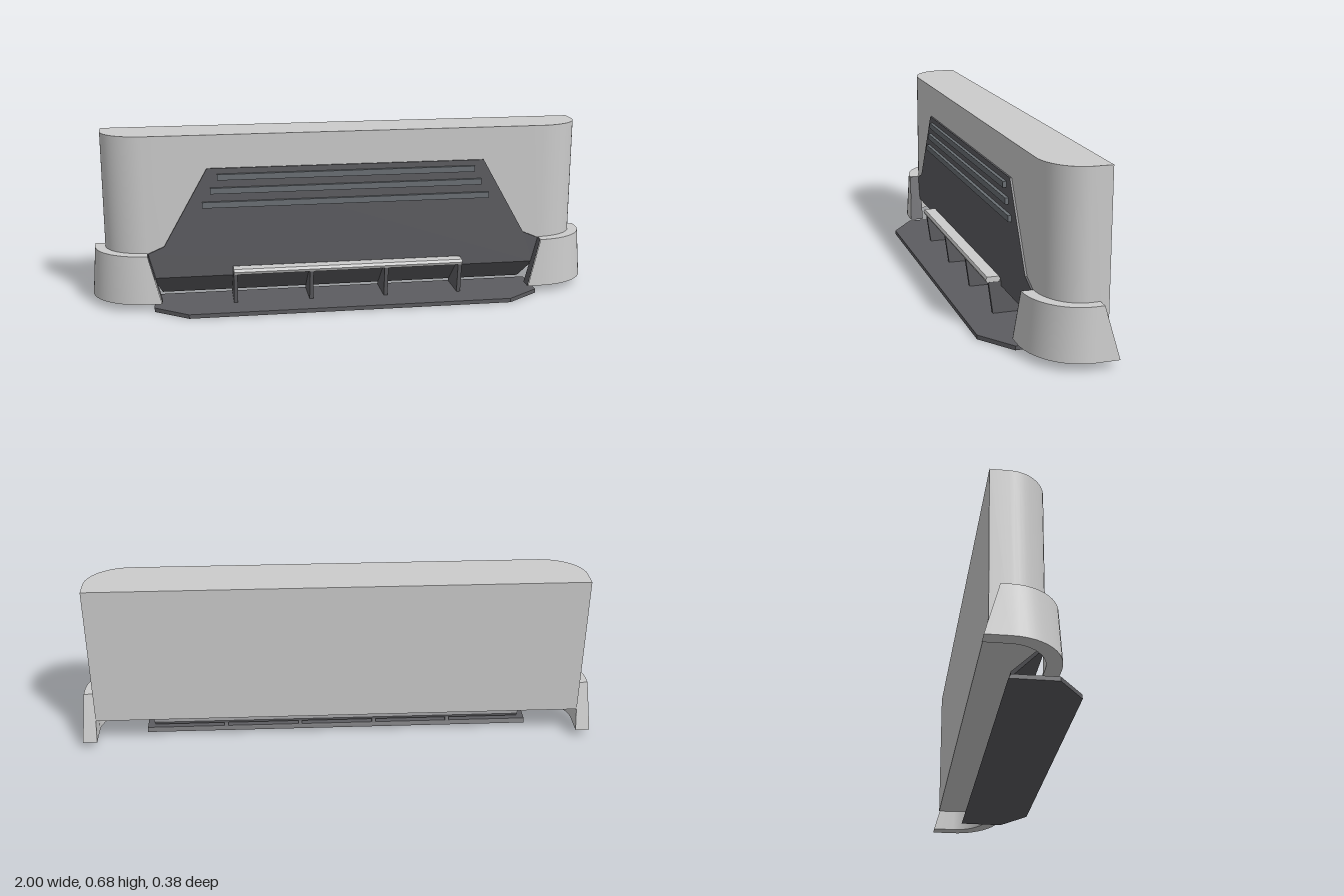
import * as THREE from 'three';
import { toCreasedNormals } from 'three/addons/utils/BufferGeometryUtils.js';

const mat = (color) => new THREE.MeshStandardMaterial({ color, side: THREE.DoubleSide });
const grey = mat(0xcccccc);
const dark = mat(0x5c5c60);
const slatGrey = mat(0x6a6f74);

const polygon = (pts) => new THREE.Shape(pts.map(([x, y]) => new THREE.Vector2(x, y)));
const extrude = (pts, depth) =>
  new THREE.ExtrudeGeometry(polygon(pts), { depth, bevelEnabled: false });

// Completes a right-left symmetric outline from its +x half
const mirrored = (half) => [...half, ...half.map(([x, y]) => [-x, y]).reverse()];

// Extrudes a [z, y] profile along x, centred on the given x
function alongX(profile, width, x = 0) {
  const g = extrude(profile.map(([z, y]) => [-z, y]), width);
  return g.translate(0, 0, -width / 2).rotateY(Math.PI / 2).translate(x, 0, 0);
}

// Extrudes an [x, z] plan upwards from y0 to y1
function upwards(plan, y0, y1) {
  const g = extrude(plan.map(([x, z]) => [x, -z]), y1 - y0);
  return g.rotateX(-Math.PI / 2).translate(0, y0, 0);
}

// Plan curve of a front corner: from the back end, round the ellipse, to the front end
function cornerPlan(rx, rz, zBack, xFront, steps = 12) {
  const pts = [[0.78 + rx, zBack]];
  for (let i = 0; i <= steps; i++) {
    const a = (i / steps) * Math.PI / 2;
    pts.push([0.78 + rx * Math.cos(a), -0.1 + rz * Math.sin(a)]);
  }
  pts.push([xFront, -0.1 + rz]);
  return pts;
}

// Flared corner guard: a four-cornered section swept along the corner plan
function cornerGuard() {
  const rings = [
    [cornerPlan(0.165, 0.138, -0.188, 0.73), 0.03],
    [cornerPlan(0.22, 0.193, -0.188, 0.73), 0.03],
    [cornerPlan(0.205, 0.182, -0.135, 0.779), 0.22],
    [cornerPlan(0.165, 0.138, -0.135, 0.779), 0.22],
  ];
  const n = rings[0][0].length;
  const pos = [], index = [];
  for (let i = 0; i < n; i++) {
    for (const [plan, y] of rings) pos.push(plan[i][0], y, plan[i][1]);
  }
  for (let i = 0; i < n - 1; i++) {
    for (let k = 0; k < 4; k++) {
      const a = i * 4 + k, b = i * 4 + (k + 1) % 4;
      index.push(a, b, a + 4, b, b + 4, a + 4);
    }
  }
  index.push(0, 2, 1, 0, 3, 2);
  const g = new THREE.BufferGeometry();
  g.setAttribute('position', new THREE.Float32BufferAttribute(pos, 3));
  g.setIndex(index);
  // Dark face closing the front end
  const cap = new THREE.BufferGeometry();
  cap.setAttribute('position', new THREE.Float32BufferAttribute(
    pos.slice(-12).map((v, i) => (i % 3 === 0 ? v - 0.002 : v)), 3));
  cap.setIndex([0, 1, 2, 0, 2, 3]);
  cap.computeVertexNormals();
  return [toCreasedNormals(g, 0.6), cap];
}

export function createModel() {
  const model = new THREE.Group();
  const add = (name, geometry, material, parent = model) => {
    const mesh = new THREE.Mesh(geometry, material);
    mesh.name = name;
    parent.add(mesh);
    return mesh;
  };

  // Main body with rounded front corners and a flat back
  const bodyHalf = cornerPlan(0.165, 0.138, -0.167, 0.7);
  add('body', toCreasedNormals(upwards(mirrored(bodyHalf), 0.116, 0.677), 0.6), grey);

  // Corner guards
  const [guard, cap] = cornerGuard();
  for (const [side, s] of [['left', 1], ['right', -1]]) {
    const group = new THREE.Group();
    group.name = side + 'CornerGuard';
    group.scale.x = s;
    add('guardShell', guard, grey, group);
    add('guardEndFace', cap, dark, group);
    model.add(group);
  }

  // Grille panel and its slats
  const grille = extrude(
    mirrored([[0.76, 0.12], [0.785, 0.215], [0.715, 0.245], [0.543, 0.548]]), 0.01);
  add('grillePanel', grille.translate(0, 0, 0.035), dark);
  for (const [y, half] of [[0.515, 0.505], [0.462, 0.533], [0.407, 0.565]]) {
    const slat = add('grilleSlat', new THREE.BoxGeometry(2 * half, 0.023, 0.016), slatGrey);
    slat.position.set(0, y, 0.05);
  }

  // Lower panel raking back beneath the body, narrower at the bottom
  const lower = alongX([[0.045, 0.12], [0.03, 0.12], [-0.068, 0.038], [-0.068, 0.029], [-0.058, 0.029]], 1.52);
  const p = lower.attributes.position;
  for (let i = 0; i < p.count; i++) p.setX(i, p.getX(i) * (1 - (0.12 - p.getY(i)) * 0.45));
  lower.computeVertexNormals();
  add('lowerPanel', lower, dark);

  // Splitter plate with its back edge undercut
  const plate = upwards(mirrored([[0.76, -0.08], [0.76, 0.093], [0.63, 0.19]]), 0, 0.016);
  const q = plate.attributes.position;
  for (let i = 0; i < q.count; i++) {
    if (q.getY(i) > 0.01 && q.getZ(i) < -0.07) q.setZ(i, -0.071);
  }
  plate.computeVertexNormals();
  add('splitterPlate', plate, dark);

  // Struts between the plate, the lower panel and the bar
  const strut = [[0.075, 0.012], [0.093, 0.138], [0.04, 0.138], [0.04, 0.115], [-0.065, 0.03], [-0.074, 0.012]];
  for (const x of [-0.45, -0.15, 0.15, 0.45]) {
    add('strut', alongX(strut, 0.015, x * 0.99), dark);
  }

  // Cross bar with a pointed front edge
  const bar = [[0.103, 0.147], [0.098, 0.158], [0.052, 0.158], [0.047, 0.147], [0.052, 0.136], [0.098, 0.136]];
  add('crossBar', alongX(bar, 0.905), grey);

  return model;
}
